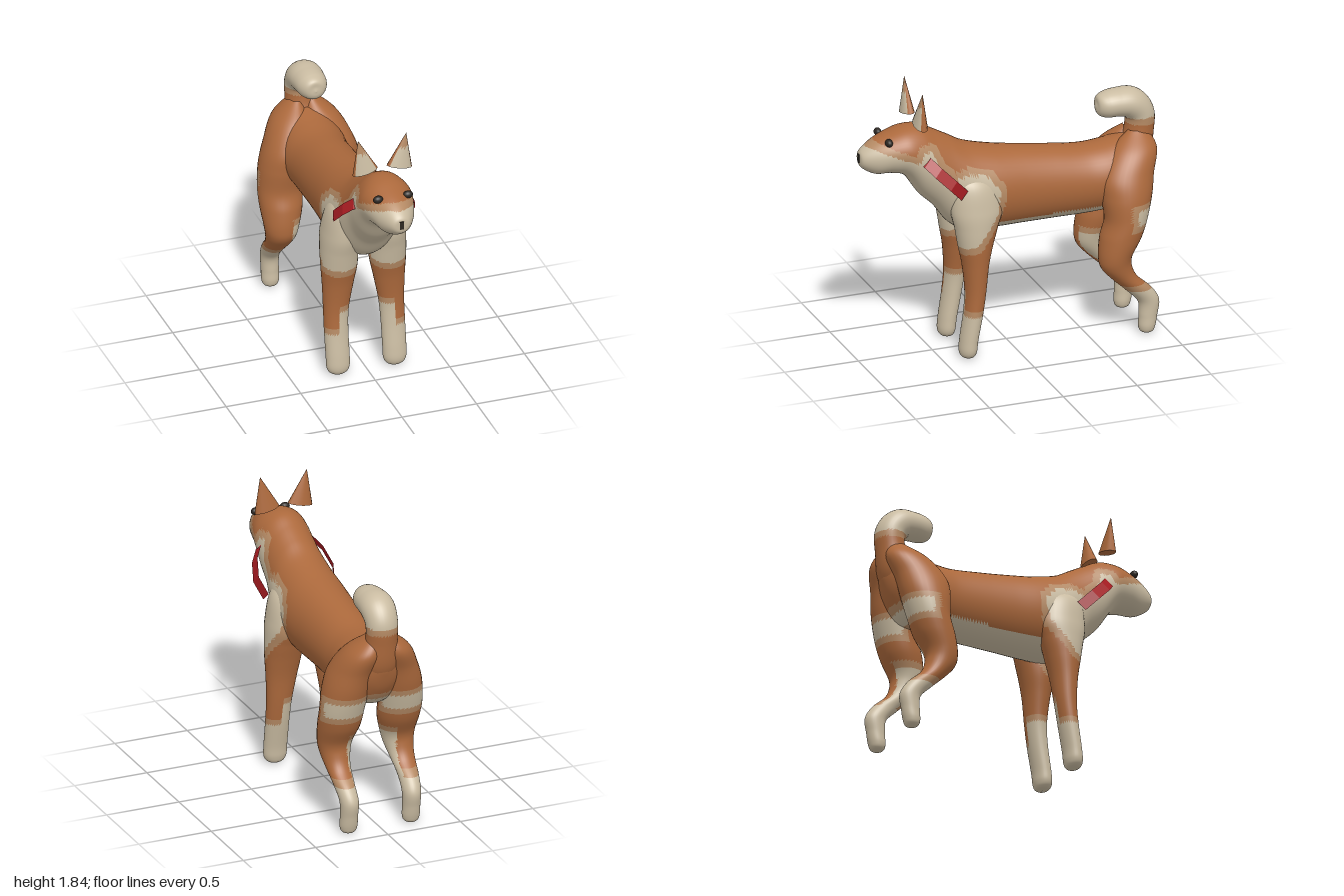
import * as THREE from 'three';

const mat = (name, color, side = THREE.FrontSide) => {
  const m = new THREE.MeshStandardMaterial({ color, side });
  m.name = name;
  return m;
};
const orange = mat('orange fur', 0xac693c);
const tan = mat('tan fur', 0xb58a64);
const cream = mat('cream fur', 0xcabca2);
const red = mat('red collar', 0xa81c22, THREE.DoubleSide);
const dark = mat('dark eyes and nose', 0x2c2722);
const furs = [orange, tan, cream];

// Outline of the cream muzzle, throat and chest patch, as (z, y)
const patch = [[1.1, 1.47], [0.93, 1.47], [0.85, 1.44], [0.75, 1.4], [0.65, 1.37], [0.62, 1.43],
  [0.56, 1.43], [0.52, 1.32], [0.42, 1.22], [0.32, 1.25], [0.2, 1.22], [0.12, 1.13], [0.14, 0.98],
  [0.22, 0.88], [0.3, 0.78], [0.45, 0.74], [0.7, 1.0], [1.1, 1.2]];

// Signed distance to the patch outline, negative inside
function patchDistance(z, y) {
  let d = Infinity, inside = false;
  patch.forEach(([az, ay], i) => {
    const [bz, by] = patch[(i + 1) % patch.length];
    const ez = bz - az, ey = by - ay;
    const t = THREE.MathUtils.clamp(((z - az) * ez + (y - ay) * ey) / (ez * ez + ey * ey), 0, 1);
    d = Math.min(d, Math.hypot(z - az - t * ez, y - ay - t * ey));
    if ((ay > y) !== (by > y) && z < az + (ez * (y - ay)) / ey) inside = !inside;
  });
  return inside ? -d : d;
}

// Coat rule: 0 orange, 1 tan border, 2 cream
function coat(p, n) {
  const x = Math.abs(p.x);
  let d = patchDistance(p.z, p.y);
  if (p.z > 0.1 && p.y < 0.6) d = Math.min(d, p.y - (x < 0.185 ? 0.44 : 0.29));
  if (p.z < -0.4 && p.y < 0.7) d = Math.min(d, p.y - (x < 0.17 ? 0.58 : 0.31));
  if (p.z < -0.6) d = Math.min(d, Math.max(Math.abs(p.y - 0.83) - 0.05, p.z + 0.77));
  if (p.z < -0.55) d = Math.min(d, 1.41 - p.y);
  if (p.z > -0.65 && p.z < 0.3 && p.y < 0.88 && p.y > 0.75 && n.y < -0.55) d = -1;
  return d < 0 ? 2 : d < 0.045 ? 1 : 0;
}

// Sorts the triangles of a geometry into one group per fur colour
function paint(geo, rule) {
  const pos = geo.attributes.position, idx = geo.index.array;
  const buckets = [[], [], []];
  const tri = new THREE.Triangle(), p = new THREE.Vector3(), n = new THREE.Vector3();
  for (let i = 0; i < idx.length; i += 3) {
    tri.setFromAttributeAndIndices(pos, idx[i], idx[i + 1], idx[i + 2]);
    tri.getMidpoint(p);
    tri.getNormal(n);
    buckets[rule(p, n)].push(idx[i], idx[i + 1], idx[i + 2]);
  }
  geo.clearGroups();
  geo.setIndex(buckets.flat());
  let start = 0;
  buckets.forEach((b, i) => {
    if (b.length) geo.addGroup(start, b.length, i);
    start += b.length;
  });
  return geo;
}

// Smooth loft through elliptical rings [x, y, z, rx, rv]; axis fixes the ring direction
function loft(rings, axis, sides = 48, steps = 10) {
  const curve = (f) => new THREE.CatmullRomCurve3(rings.map(f), false, 'catmullrom', 0.5);
  const centre = curve((r) => new THREE.Vector3(r[0], r[1], r[2]));
  const radii = curve((r) => new THREE.Vector3(r[3], r[4], 0));
  const count = (rings.length - 1) * steps;
  const verts = [], index = [], X = new THREE.Vector3(1, 0, 0);
  for (let i = 0; i <= count; i++) {
    const c = centre.getPoint(i / count), r = radii.getPoint(i / count);
    const v = X.clone().cross(axis || centre.getTangent(i / count)).normalize();
    for (let j = 0; j < sides; j++) {
      const a = (j / sides) * Math.PI * 2;
      const q = c.clone().addScaledVector(X, Math.max(r.x, 0.001) * Math.cos(a))
        .addScaledVector(v, Math.max(r.y, 0.001) * Math.sin(a));
      verts.push(q.x, q.y, q.z);
      if (i < count) {
        const k = i * sides + j, l = i * sides + ((j + 1) % sides);
        index.push(k, k + sides, l, l, k + sides, l + sides);
      }
    }
  }
  const geo = new THREE.BufferGeometry();
  geo.setAttribute('position', new THREE.Float32BufferAttribute(verts, 3));
  geo.setIndex(index);
  geo.computeVertexNormals();
  return paint(geo, coat);
}

export function createModel() {
  const dog = new THREE.Group();
  dog.name = 'dog';
  const add = (name, geo, material) => {
    const mesh = new THREE.Mesh(geo, material);
    mesh.name = name;
    dog.add(mesh);
    return mesh;
  };
  const back = new THREE.Vector3(0, 0, -1), down = new THREE.Vector3(0, -1, 0);

  // Head, neck and trunk: z, top, bottom, half width
  const trunk = [[1.0, 1.4, 1.38, 0.005], [0.985, 1.445, 1.33, 0.06], [0.9, 1.505, 1.28, 0.115],
    [0.8, 1.545, 1.275, 0.152], [0.7, 1.572, 1.24, 0.175], [0.6, 1.57, 1.1, 0.182],
    [0.5, 1.52, 1.0, 0.185], [0.4, 1.465, 0.87, 0.2], [0.28, 1.4, 0.81, 0.22],
    [0.1, 1.35, 0.8, 0.225], [-0.1, 1.315, 0.8, 0.212], [-0.3, 1.285, 0.8, 0.205],
    [-0.5, 1.26, 0.8, 0.205], [-0.65, 1.265, 0.81, 0.215], [-0.8, 1.29, 0.83, 0.2],
    [-0.9, 1.29, 0.95, 0.13], [-0.95, 1.22, 1.08, 0.05], [-0.96, 1.16, 1.15, 0.001]];
  add('body', loft(trunk.map(([z, t, b, w]) => [0, (t + b) / 2, z, w, (t - b) / 2]), back), furs);

  // Curled tail
  add('tail', loft([[0, 1.02, -0.8, 0.1, 0.1], [0, 1.16, -0.86, 0.13, 0.11], [0, 1.3, -0.895, 0.105, 0.095],
    [0, 1.42, -0.9, 0.105, 0.095], [0, 1.495, -0.84, 0.112, 0.1], [0, 1.51, -0.75, 0.108, 0.092],
    [0, 1.505, -0.67, 0.095, 0.085], [0, 1.5, -0.62, 0.06, 0.06], [0, 1.5, -0.605, 0.001, 0.001]], null, 32), furs);

  const frontLeg = [[0.08, 1.27, 0.32, 0.04, 0.05], [0.12, 1.17, 0.28, 0.11, 0.14], [0.15, 1.0, 0.26, 0.122, 0.17],
    [0.16, 0.87, 0.265, 0.122, 0.14], [0.163, 0.75, 0.272, 0.118, 0.112], [0.172, 0.62, 0.275, 0.102, 0.085],
    [0.185, 0.45, 0.28, 0.084, 0.068], [0.19, 0.3, 0.297, 0.079, 0.062], [0.19, 0.13, 0.325, 0.078, 0.058],
    [0.19, 0.05, 0.333, 0.075, 0.056], [0.19, 0.012, 0.333, 0.05, 0.04], [0.19, 0, 0.333, 0.001, 0.001]];
  const hindLeg = [[0.05, 1.33, -0.87, 0.04, 0.06], [0.1, 1.22, -0.825, 0.115, 0.15], [0.15, 1.08, -0.76, 0.14, 0.175],
    [0.18, 0.95, -0.745, 0.15, 0.165], [0.2, 0.8, -0.732, 0.145, 0.138], [0.205, 0.68, -0.695, 0.138, 0.134],
    [0.215, 0.56, -0.655, 0.115, 0.108], [0.218, 0.48, -0.662, 0.098, 0.1], [0.22, 0.4, -0.715, 0.08, 0.085],
    [0.22, 0.31, -0.81, 0.066, 0.085], [0.215, 0.22, -0.878, 0.06, 0.07], [0.215, 0.12, -0.876, 0.057, 0.06],
    [0.215, 0.05, -0.868, 0.057, 0.055], [0.215, 0.012, -0.866, 0.042, 0.04], [0.215, 0, -0.866, 0.001, 0.001]];

  for (const [side, s] of [['left', 1], ['right', -1]]) {
    // Legs with shoulder and thigh
    const mirror = (rings) => rings.map(([x, ...rest]) => [x * s, ...rest]);
    add(side + 'FrontLeg', loft(mirror(frontLeg), down, 32), furs);
    add(side + 'HindLeg', loft(mirror(hindLeg), down, 32), furs);

    // Ear: flattened cone, cream inside with a tan tip
    const ear = new THREE.ConeGeometry(0.086, 0.235, 12, 8);
    ear.translate(0, 0.1175, 0).scale(1, 1, 0.5).rotateZ(-0.2 * s).translate(0.115 * s, 1.608, 0.628);
    add(side + 'Ear', paint(ear, (p, n) => (n.z > 0.5 ? (p.y < 1.74 ? 2 : 1) : 0)), furs);

    // Collar: flat ribbon standing off the neck
    const path = [[0.15, 1.385, 0.615], [0.185, 1.37, 0.6], [0.235, 1.31, 0.545], [0.266, 1.22, 0.455],
      [0.235, 1.13, 0.37]];
    const strap = new THREE.PlaneGeometry(1, 1, 1, path.length - 1);
    path.forEach(([x, y, z], i) => {
      strap.attributes.position.setXYZ(i * 2, x * s - 0.008 * s, y + 0.026, z - 0.025);
      strap.attributes.position.setXYZ(i * 2 + 1, x * s + 0.008 * s, y - 0.026, z + 0.025);
    });
    const flat = strap.toNonIndexed();
    flat.computeVertexNormals();
    add(side + 'Collar', flat, red);

    // Eye
    const eye = add(side + 'Eye', new THREE.SphereGeometry(0.03, 16, 12), dark);
    eye.scale.set(1.1, 0.85, 0.8);
    eye.position.set(0.1 * s, 1.51, 0.832);
  }

  // Nose: small plate on the muzzle tip
  const nose = add('nose', new THREE.BoxGeometry(0.028, 0.055, 0.009), dark);
  nose.position.set(0, 1.392, 0.998);
  return dog;
}
